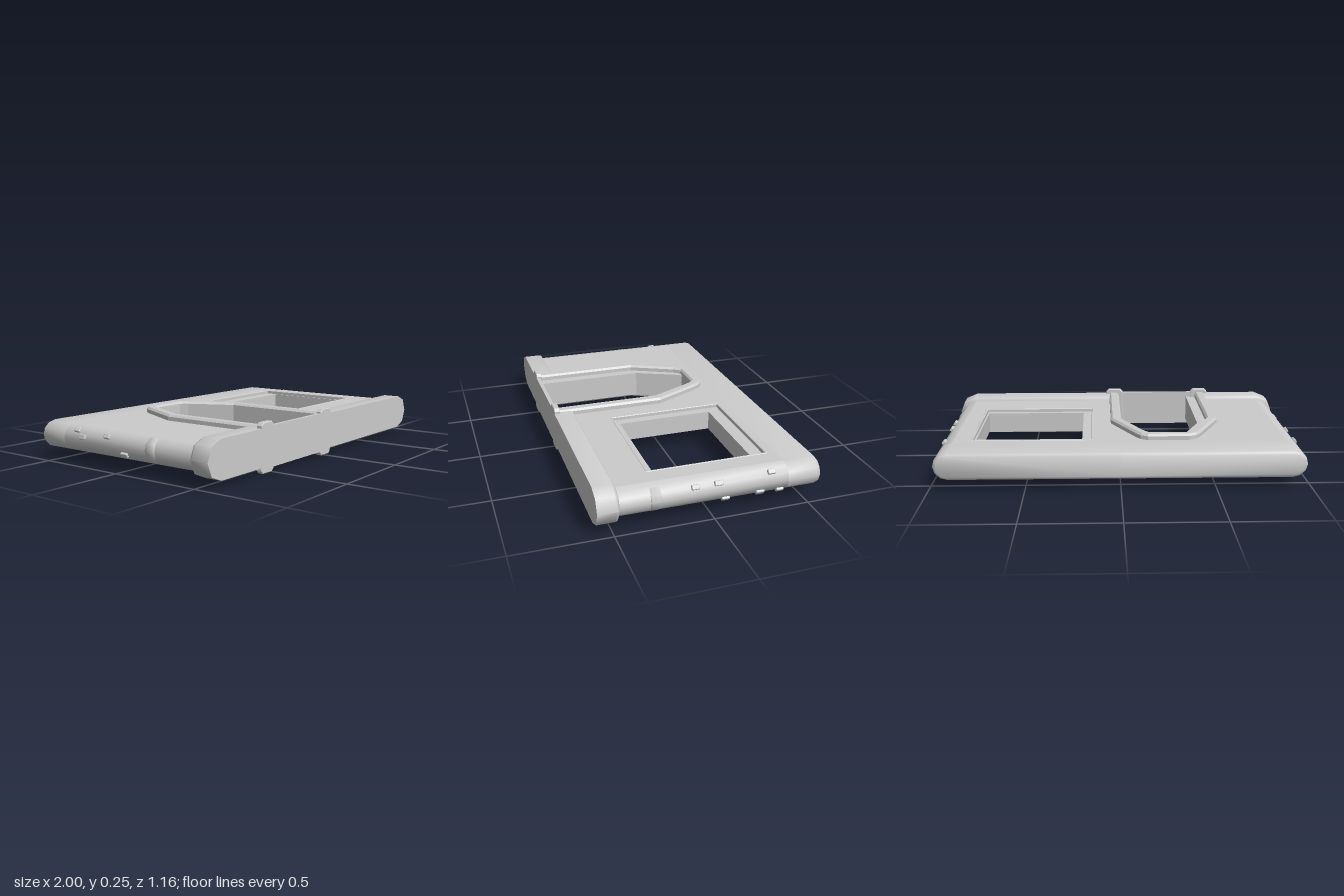
import * as THREE from 'three';
import { toCreasedNormals } from 'three/addons/utils/BufferGeometryUtils.js';
import { RoundedBoxGeometry } from 'three/addons/geometries/RoundedBoxGeometry.js';

const MID = 0.13; // height of the panel's middle plane

export function createModel() {
  const model = new THREE.Group();
  const grey = new THREE.MeshStandardMaterial({ color: 0xcccccc });
  grey.name = 'stone grey';

  const add = (name, geometry) => {
    const mesh = new THREE.Mesh(geometry, grey);
    mesh.name = name;
    model.add(mesh);
    return mesh;
  };

  // Bar along z, flat at x0 and rounded at xEnd; sections are [z, inset], front to back
  function roundedBar(x0, xEnd, halfHeight, radius, steps, sections) {
    const side = Math.sign(xEnd - x0);
    const rings = sections.map(([z, inset]) => {
      const h = halfHeight - inset, r = radius - inset;
      const ring = [new THREE.Vector3(x0, MID - h, z)];
      for (let i = 0; i <= steps * 2; i++) {
        const a = -Math.PI / 2 + (i / (steps * 2)) * Math.PI;
        ring.push(new THREE.Vector3(xEnd - side * (radius - r * Math.cos(a)), MID + h * Math.sin(a), z));
      }
      ring.push(new THREE.Vector3(x0, MID + h, z));
      return ring;
    });
    const points = [];
    const tri = (a, b, c) => points.push(...(side > 0 ? [a, b, c] : [a, c, b]));
    const n = rings[0].length;
    for (let k = 0; k < rings.length - 1; k++) {
      for (let i = 0; i < n; i++) {
        const j = (i + 1) % n, f = rings[k], b = rings[k + 1];
        tri(f[i], b[i], b[j]);
        tri(f[i], b[j], f[j]);
      }
    }
    const front = rings[0], back = rings[rings.length - 1];
    for (let i = 1; i < n - 1; i++) {
      tri(front[0], front[i], front[i + 1]);
      tri(back[0], back[i + 1], back[i]);
    }
    return toCreasedNormals(new THREE.BufferGeometry().setFromPoints(points), 0.85);
  }

  // Plan outline given as [x, z], extruded upward from y0 to y1; holes wind the other way
  const toPoints = (list) => list.map(([x, z]) => new THREE.Vector2(x, -z));
  const rect = (x0, x1, z0, z1) => [[x0, z0], [x1, z0], [x1, z1], [x0, z1]];
  function plan(outline, holes, y0, y1, bevel = 0) {
    const shape = new THREE.Shape(toPoints(outline));
    for (const hole of holes) shape.holes.push(new THREE.Path(toPoints(hole).reverse()));
    const geometry = new THREE.ExtrudeGeometry(shape, {
      depth: y1 - y0 - 2 * bevel, bevelEnabled: bevel > 0, bevelSize: bevel,
      bevelThickness: bevel, bevelOffset: -bevel, bevelSegments: 1,
    });
    return geometry.rotateX(-Math.PI / 2).translate(0, y0 + bevel, 0);
  }

  // Wall: slab with doorway notch and window hole
  add('wall', plan([
    [-0.897, 0.556], [-0.897, -0.4], [0.897, -0.4], [0.897, 0.556],
    [0.015, 0.556], [0.015, -0.03], [-0.12, -0.31], [-0.16, -0.34],
    [-0.33, -0.32], [-0.455, -0.05], [-0.455, 0.556],
  ], [rect(0.148, 0.803, -0.358, 0.283)], MID - 0.073, MID + 0.073));

  // Rounded wall ends, wall top edge and plinth on both sides
  for (const s of [1, -1]) {
    add('wallEnd', roundedBar(s * 0.897, s * 0.974, 0.073, 0.077, 3, [[0.5, 0], [-0.4, 0]]));
    add('wallTop', roundedBar(0, s * 0.974, 0.073, 0.077, 3,
      [[-0.4, 0], [-0.56, 0], [-0.573, 0.006], [-0.58, 0.018]]));
    add('plinth', roundedBar(s > 0 ? 0.02 : -0.54, s, 0.097, 0.097, 2,
      [[0.58, 0], [0.485, 0], [0.474, 0.006], [0.467, 0.02]]));
  }

  // Window: recessed inner frame and slim rim
  const rim = rect(0.145, 0.806, -0.361, 0.286);
  add('windowFrame', plan(rim, [rect(0.206, 0.785, -0.28, 0.245)], MID - 0.05, MID + 0.055));
  add('windowRim', plan(rim, [rect(0.157, 0.794, -0.349, 0.274)], MID - 0.075, MID + 0.075, 0.003));

  // Doorway arch with bevelled edges
  add('doorFrame', plan([
    [-0.568, 0.57], [-0.568, -0.045], [-0.44, -0.31], [-0.415, -0.345], [-0.375, -0.366],
    [-0.15, -0.366], [-0.112, -0.345], [-0.088, -0.31], [0.045, -0.045], [0.045, 0.57],
    [-0.015, 0.57], [-0.015, -0.03], [-0.135, -0.275], [-0.165, -0.314],
    [-0.36, -0.314], [-0.39, -0.275], [-0.51, -0.03], [-0.51, 0.57],
  ], [], 0.022, 0.235, 0.011));

  // Threshold plate between the two door feet
  add('threshold', new THREE.BoxGeometry(0.53, 0.209, 0.021)).position.set(-0.263, 0.1285, 0.5695);
  const c = 0.015, w = 0.052, h = 0.127;
  const footShape = new THREE.Shape([
    [-w + c, -h], [w - c, -h], [w, -h + c], [w, h - c],
    [w - c, h], [-w + c, h], [-w, h - c], [-w, -h + c],
  ].map(([x, y]) => new THREE.Vector2(x, y)));
  for (const x of [-0.537, 0.011]) {
    add('doorFoot', new THREE.ExtrudeGeometry(footShape, {
      depth: 0.026, bevelEnabled: true, bevelSize: 0.004, bevelThickness: 0.003,
      bevelOffset: -0.004, bevelSegments: 1,
    })).position.set(x, MID - 0.002, 0.551);
  }

  // Small stones set into the rounded ends: [side, z, angle up, length]
  const stones = [
    [1, 0.09, 33, 0.04], [1, -0.03, 34, 0.045], [1, -0.07, -42, 0.042],
    [1, -0.25, -36, 0.045], [1, -0.31, 44, 0.04], [1, -0.36, -44, 0.04],
    [-1, -0.31, 40, 0.04], [-1, -0.26, 15, 0.045], [-1, -0.09, 32, 0.04],
    [-1, 0.03, -30, 0.045],
  ];
  for (const [s, z, degrees, length] of stones) {
    const a = THREE.MathUtils.degToRad(degrees);
    const stone = add('stone', new RoundedBoxGeometry(0.025, 0.026, length, 1, 0.005));
    stone.position.set(s * (0.895 + 0.077 * Math.cos(a)), MID + 0.073 * Math.sin(a), z);
    stone.rotation.z = s * a;
  }

  // Tall stones that wrap around each end
  add('tallStone', roundedBar(0.9, 0.98, 0.071, 0.08, 3, [[0.313, 0.004], [0.308, 0], [0.265, 0], [0.26, 0.004]]));
  add('tallStone', roundedBar(-0.9, -0.98, 0.071, 0.08, 3, [[0.235, 0.004], [0.23, 0], [0.18, 0], [0.175, 0.004]]));

  return model;
}
